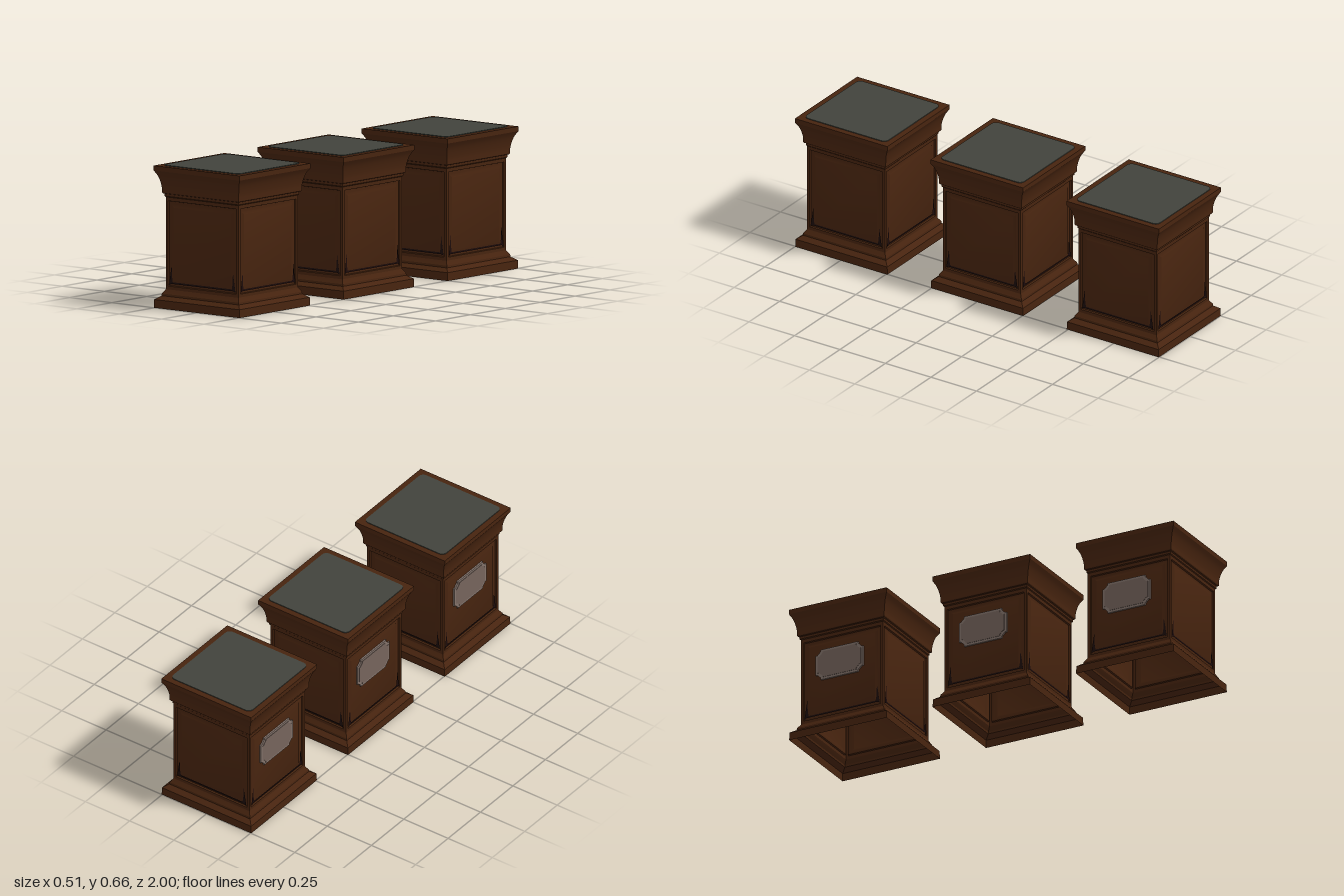
import * as THREE from 'three';
import { toCreasedNormals } from 'three/addons/utils/BufferGeometryUtils.js';

const mat = (name, color, side = THREE.FrontSide) => {
  const m = new THREE.MeshStandardMaterial({ color, side });
  m.name = name;
  return m;
};

// Skin between successive four-cornered rings, optionally closed on the last one
function loft(rings, cap = false) {
  const pos = [];
  const quad = (a, b, c, d) => pos.push(...a, ...b, ...c, ...a, ...c, ...d);
  for (let r = 0; r < rings.length - 1; r++) {
    const a = rings[r], b = rings[r + 1];
    for (let i = 0; i < 4; i++) {
      const j = (i + 1) % 4;
      quad(a[i], a[j], b[j], b[i]);
    }
  }
  if (cap) quad(...rings[rings.length - 1]);
  const g = new THREE.BufferGeometry();
  g.setAttribute('position', new THREE.Float32BufferAttribute(pos, 3));
  return toCreasedNormals(g, 0.45);
}

// Horizontal square ring: half width, height
const square = ([w, y]) => [[w, y, w], [w, y, -w], [-w, y, -w], [-w, y, w]];
// Upright rectangle facing +z: half width, bottom, top, depth
const upright = ([w, lo, hi, z]) => [[-w, lo, z], [w, lo, z], [w, hi, z], [-w, hi, z]];

function roundedSquare(h, r) {
  const s = new THREE.Shape(), k = h - r;
  s.absarc(k, k, r, 0, Math.PI / 2);
  s.absarc(-k, k, r, Math.PI / 2, Math.PI);
  s.absarc(-k, -k, r, Math.PI, Math.PI * 1.5);
  s.absarc(k, -k, r, Math.PI * 1.5, Math.PI * 2);
  return s;
}

// Plaque outline with stepped, cut corners
function plaqueShape(w, h, c) {
  const n = c * 0.3;
  const corner = [[w, h - c], [w - n, h - c], [w - c, h - n], [w - c, h]];
  const back = [...corner].reverse();
  const pts = [
    ...corner,
    ...back.map(([x, y]) => [-x, y]),
    ...corner.map(([x, y]) => [-x, -y]),
    ...back.map(([x, y]) => [x, -y]),
  ];
  return new THREE.Shape(pts.map(p => new THREE.Vector2(...p)));
}

const slab = (shape, depth) =>
  new THREE.ExtrudeGeometry(shape, { depth, bevelEnabled: false, curveSegments: 6 });

export function createModel() {
  const wood = mat('brown wood', 0x47240f, THREE.DoubleSide);
  const grime = mat('dark groove', 0x1c0c0b, THREE.DoubleSide);
  const felt = mat('grey green top', 0x41433c);
  const metal = mat('plaque metal', 0x75645c);
  const rimMetal = mat('plaque rim', 0x83736b);

  // Hollow base moulding, open underneath
  const baseGeo = loft([
    [0.253, 0], [0.252, 0.038], [0.228, 0.055], [0.227, 0.065],
    [0.218, 0.078], [0.214, 0.085],
  ].map(square));

  // Flared crown with a concave sweep
  const cove = new THREE.CatmullRomCurve3([
    [0.227, 0.532], [0.227, 0.553], [0.232, 0.583], [0.241, 0.611], [0.254, 0.633],
  ].map(([w, y]) => new THREE.Vector3(w, y, 0))).getPoints(10).map(p => [p.x, p.y]);
  const crownGeo = loft([
    [0.214, 0.51], [0.218, 0.514], [0.218, 0.525], [0.224, 0.527],
    ...cove, [0.254, 0.655], [0.2, 0.655],
  ].map(square));

  // One body side: frame, sunken channel, raised field
  const sideGeo = loft([
    [0.214, 0.085, 0.51, 0.214], [0.2, 0.1, 0.493, 0.214], [0.198, 0.102, 0.491, 0.206],
    [0.183, 0.115, 0.477, 0.206], [0.17, 0.128, 0.464, 0.212],
  ].map(upright), true);

  // Dark wear in the lower channel, tapering up both ends
  const wear = new THREE.Shape([
    [-0.196, 0.106], [-0.183, 0.112], [0.183, 0.112], [0.196, 0.106], [0.189, 0.15],
    [0.181, 0.2], [0.178, 0.14], [0.174, 0.12], [-0.174, 0.12], [-0.178, 0.14],
    [-0.181, 0.2], [-0.189, 0.15],
  ].map(p => new THREE.Vector2(...p)));
  const wearGeo = new THREE.ShapeGeometry(wear);

  const topGeo = slab(roundedSquare(0.225, 0.025), 0.004).rotateX(-Math.PI / 2);
  const rimGeo = slab(plaqueShape(0.123, 0.075, 0.026), 0.009);
  const plateGeo = slab(plaqueShape(0.112, 0.064, 0.024), 0.002);

  const add = (parent, name, geo, material) => {
    const m = new THREE.Mesh(geo, material);
    m.name = name;
    parent.add(m);
    return m;
  };

  const model = new THREE.Group();
  model.name = 'pedestals';
  [0.746, 0, -0.746].forEach((z, n) => {
    const p = new THREE.Group();
    p.name = `pedestal${n + 1}`;
    p.position.z = z;
    add(p, 'baseMoulding', baseGeo, wood);
    add(p, 'crownMoulding', crownGeo, wood);
    for (let i = 0; i < 4; i++) {
      const side = new THREE.Group();
      side.name = 'bodySide';
      side.rotation.y = i * Math.PI / 2;
      add(side, 'panel', sideGeo, wood);
      add(side, 'panelGroove', wearGeo, grime).position.z = 0.2125;
      p.add(side);
    }
    add(p, 'topInlay', topGeo, felt).position.y = 0.6545;

    // Plaque on the right side
    const plaque = new THREE.Group();
    plaque.name = 'plaque';
    plaque.rotation.y = -Math.PI / 2;
    plaque.position.set(-0.211, 0.36, -0.01);
    add(plaque, 'plaqueRim', rimGeo, rimMetal);
    add(plaque, 'plaquePlate', plateGeo, metal).position.z = 0.0088;
    p.add(plaque);
    model.add(p);
  });
  return model;
}
